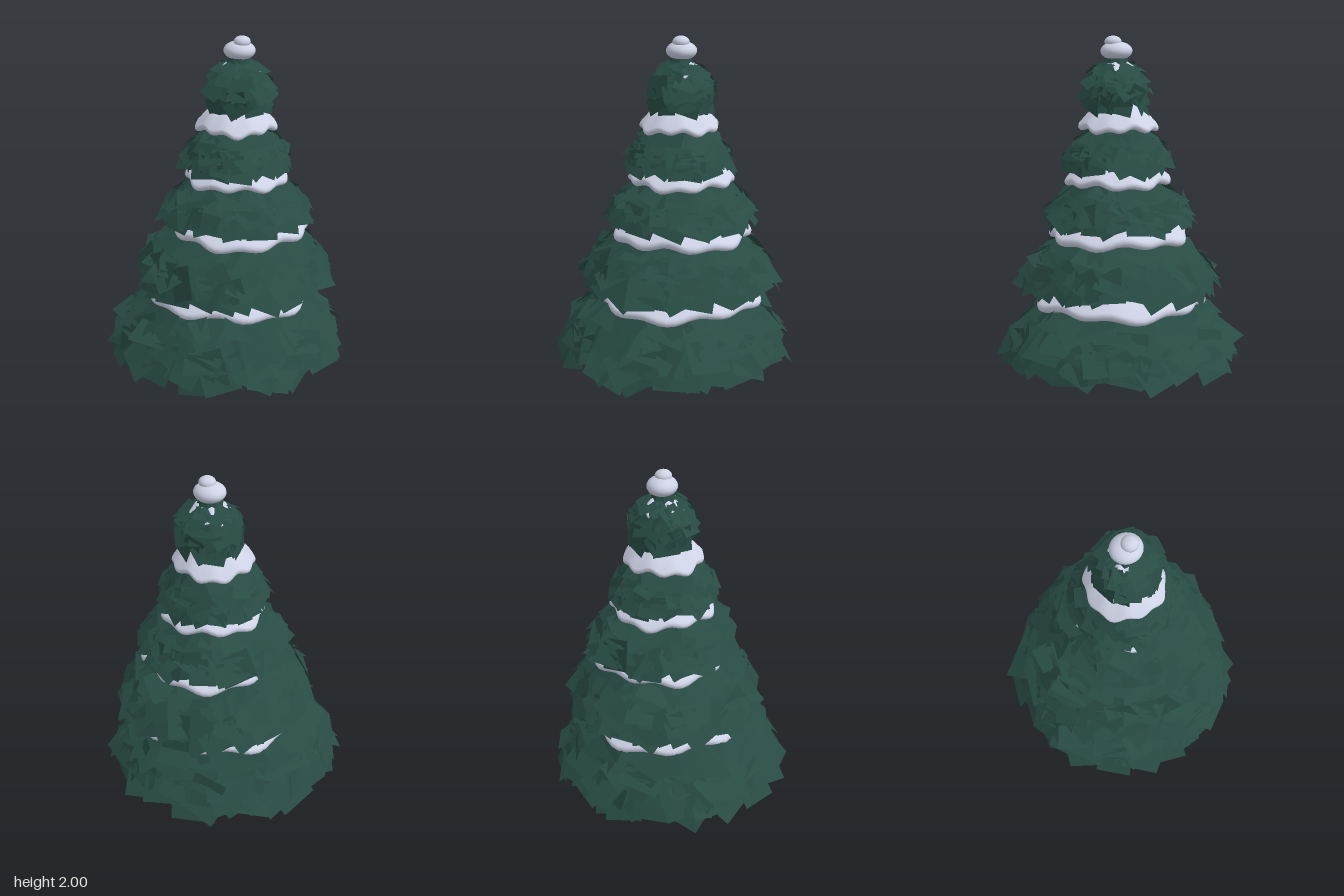
import * as THREE from 'three';

const mat = (name, color, side = THREE.FrontSide, flatShading = false) => {
  const m = new THREE.MeshStandardMaterial({ color, side, flatShading });
  m.name = name;
  return m;
};

// Small seeded generator returning values in -1..1
function seeded(seed) {
  let s = seed;
  return () => {
    s = (s * 16807) % 2147483647;
    return (s / 2147483647) * 2 - 1;
  };
}

// Centre (x, z), slope profile [radius, y] from top to bottom, leaf size, leaves per row, first row
const TIERS = [
  { x: 0, z: 0, profile: [[0.28, 0.51], [0.48, 0.375], [0.61, 0.23], [0.645, 0.145]], size: 0.21, count: 24, from: 0.38 },
  { x: 0.03, z: -0.04, profile: [[0.2, 0.92], [0.36, 0.785], [0.505, 0.66], [0.54, 0.585]], size: 0.185, count: 22, from: 0.38 },
  { x: 0.04, z: -0.05, profile: [[0.14, 1.23], [0.26, 1.115], [0.37, 1.01], [0.4, 0.955]], size: 0.155, count: 20, from: 0.38 },
  { x: 0.04, z: -0.04, profile: [[0.1, 1.53], [0.19, 1.43], [0.27, 1.325], [0.29, 1.27]], size: 0.125, count: 18, from: 0.38 },
  { x: 0.06, z: -0.05, profile: [[0.06, 1.85], [0.13, 1.78], [0.175, 1.69], [0.165, 1.61]], size: 0.115, count: 14, from: 0.22 },
];

// Centre, rim radius, rim height, top radius, top height and rim thickness
const SNOW = [
  { x: 0.015, z: -0.03, r: 0.5, y: 0.425, rt: 0.24, yt: 0.6, h: 0.056 },
  { x: 0.05, z: -0.06, r: 0.41, y: 0.835, rt: 0.2, yt: 0.97, h: 0.056 },
  { x: 0.04, z: -0.05, r: 0.31, y: 1.16, rt: 0.14, yt: 1.28, h: 0.046 },
  { x: 0.04, z: -0.04, r: 0.235, y: 1.475, rt: 0.1, yt: 1.6, h: 0.042 },
  { x: 0.055, z: -0.05, r: 0.135, y: 1.775, rt: 0.06, yt: 1.85, h: 0.03 },
];

const profileCurve = (t) => new THREE.SplineCurve(t.profile.map(([r, y]) => new THREE.Vector2(r, y)));

// Overlapping flat leaves laid in rows down the slope of one tier
function leafGeometry(tier, seed) {
  const rand = seeded(seed);
  const curve = profileCurve(tier);
  const pos = [];
  for (let row = 0; row < 5; row++) {
    const t = tier.from + (row / 4) * (1 - tier.from);
    for (let i = 0; i < tier.count; i++) {
      const a = ((i + t * 3 + rand() * 0.5) / tier.count) * Math.PI * 2;
      const p = curve.getPoint(Math.min(1, t + rand() * 0.06));
      const d = curve.getTangent(t);
      const out = new THREE.Vector3(Math.cos(a), 0, Math.sin(a));
      const around = new THREE.Vector3(-Math.sin(a), 0, Math.cos(a));
      const down = out.clone().multiplyScalar(d.x).setY(d.y);
      const normal = out.clone().multiplyScalar(-d.y).setY(d.x).normalize();
      // Twist, lift and roll each leaf a little
      down.addScaledVector(normal, 0.18 + rand() * 0.27).normalize();
      around.addScaledVector(normal, rand() * 0.22).normalize();
      const roll = rand() * 0.6;
      const u = around.clone().multiplyScalar(Math.cos(roll)).addScaledVector(down, Math.sin(roll));
      const v = down.clone().multiplyScalar(Math.cos(roll)).addScaledVector(around, -Math.sin(roll));
      const w = tier.size * (0.56 + rand() * 0.14);
      const h = tier.size * (0.47 + rand() * 0.12);
      const c = out.clone().multiplyScalar(p.x).setY(p.y).addScaledVector(normal, 0.008 + rand() * 0.008);
      const corner = (su, sv) => c.clone().addScaledVector(u, su * w).addScaledVector(v, sv * h);
      const q = [corner(-1, 1), corner(-1, -1), corner(1, -1), corner(1, 1)];
      for (const k of [0, 1, 2, 0, 2, 3]) pos.push(q[k].x, q[k].y, q[k].z);
    }
  }
  const g = new THREE.BufferGeometry();
  g.setAttribute('position', new THREE.Float32BufferAttribute(pos, 3));
  g.computeVertexNormals();
  return g;
}

// Closed body of a tier, with a shallow hollow underneath
function bodyGeometry(tier) {
  const pts = profileCurve(tier).getPoints(6).reverse();
  pts.forEach((p) => { p.x -= 0.015; });
  const [r, y] = tier.profile[3];
  pts.unshift(new THREE.Vector2(0.02, y + r * 0.14));
  pts.push(new THREE.Vector2(0.02, tier.profile[0][1] + 0.03));
  return new THREE.LatheGeometry(pts, 20);
}

// Soft sloping shell with a rounded, wavy, drooping rim
function snowGeometry(s, phase) {
  const half = s.h / 2;
  const pts = [new THREE.Vector2(s.rt, s.yt - s.h)];
  for (let i = 0; i <= 8; i++) {
    const a = -Math.PI * 0.65 + (i / 8) * Math.PI * 1.0;
    pts.push(new THREE.Vector2(s.r - half + Math.cos(a) * half, s.y + Math.sin(a) * half));
  }
  pts.push(new THREE.Vector2(s.r * 0.6 + s.rt * 0.4, s.y + (s.yt - s.y) * 0.54));
  pts.push(new THREE.Vector2(s.rt, s.yt), new THREE.Vector2(0, s.yt));
  const g = new THREE.LatheGeometry(pts, 64);
  const p = g.attributes.position;
  for (let i = 0; i < p.count; i++) {
    const x = p.getX(i), z = p.getZ(i);
    const a = Math.atan2(z, x);
    const k = Math.hypot(x, z) / s.r;
    const wave = Math.sin(a * 9 + phase) * 0.6 + Math.sin(a * 4 + phase * 2) * 0.5;
    const f = 1 + 0.045 * wave * k * k;
    p.setXYZ(i, x * f, p.getY(i) - 0.018 * wave * k * k, z * f);
  }
  g.computeVertexNormals();
  return g;
}

export function createModel() {
  const green = mat('pine green', 0x284b44, THREE.DoubleSide, true);
  const white = mat('snow', 0xcdd2e5, THREE.DoubleSide);
  const brown = mat('bark', 0x543633, THREE.DoubleSide);
  const tree = new THREE.Group();
  tree.name = 'snowyPine';
  const add = (name, geometry, material, x, y, z) => {
    const m = new THREE.Mesh(geometry, material);
    m.name = name;
    m.position.set(x, y, z);
    tree.add(m);
    return m;
  };

  // Flared trunk running up inside the tree
  const trunk = [[0, 0], [0.12, 0], [0.1, 0.06], [0.075, 0.16], [0.065, 0.3], [0.04, 1.2], [0.02, 1.8]];
  add('trunk', new THREE.LatheGeometry(trunk.map(([r, y]) => new THREE.Vector2(r, y)), 20), brown, 0.045, 0, -0.045);

  // Branch tiers: a solid body covered with leaves
  TIERS.forEach((t, i) => {
    add(`branchBody${i + 1}`, bodyGeometry(t), green, t.x, 0, t.z);
    add(`branchLeaves${i + 1}`, leafGeometry(t, 911 + i * 7717), green, t.x, 0, t.z);
  });

  // Snow lying on each tier
  SNOW.forEach((s, i) => add(`snowLayer${i + 1}`, snowGeometry(s, i * 1.7), white, s.x, 0, s.z));

  // Snow cap on the tip
  add('tipBranch', new THREE.CylinderGeometry(0.055, 0.09, 0.1, 9), green, 0.055, 1.85, -0.045);
  add('snowCap', new THREE.SphereGeometry(0.095, 24, 16), white, 0.055, 1.912, -0.05).scale.set(1, 0.58, 0.95);
  add('snowCapTop', new THREE.SphereGeometry(0.05, 20, 14), white, 0.075, 1.965, -0.045).scale.set(1, 0.7, 1);
  return tree;
}
